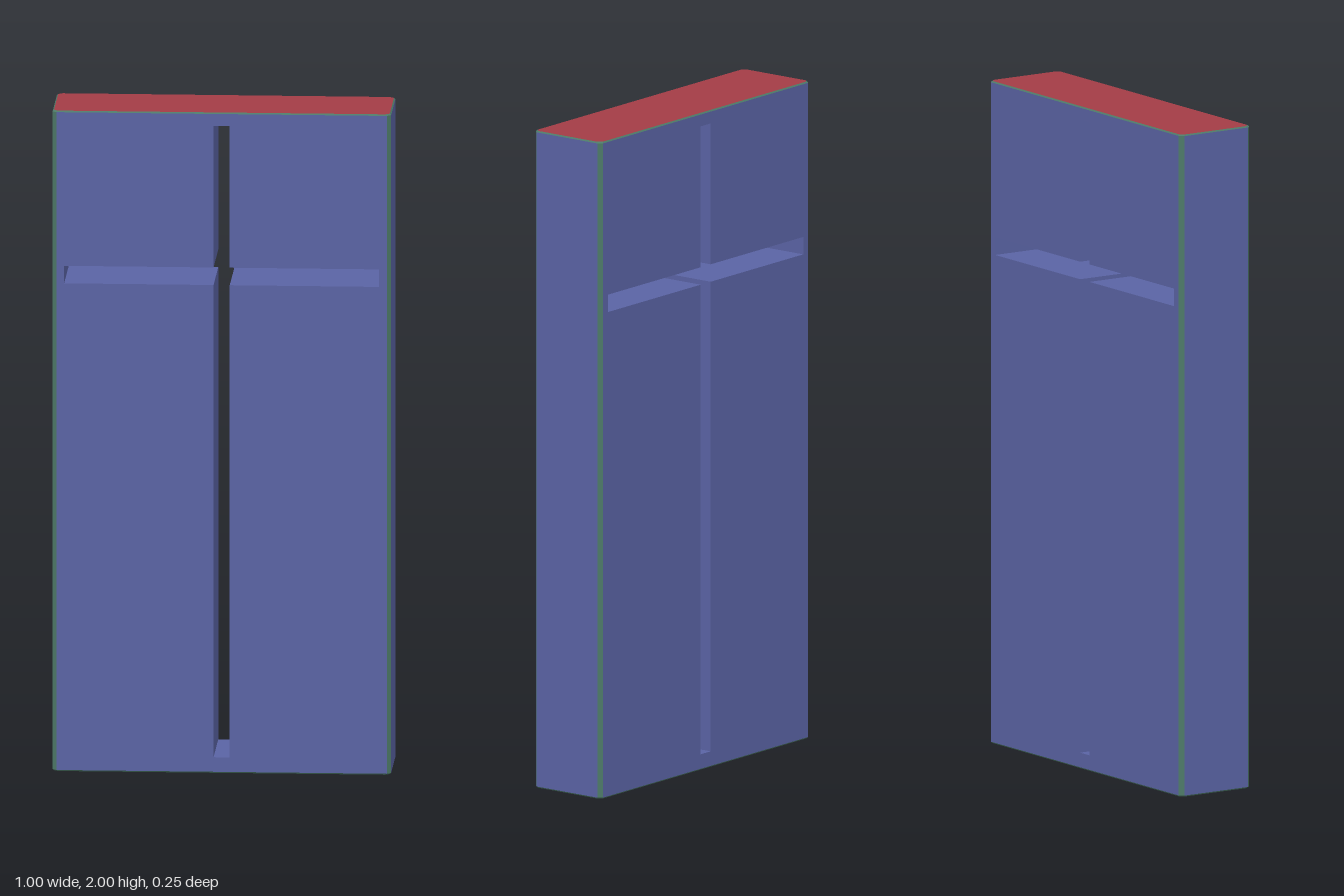
import * as THREE from 'three';

const HX = 0.502, HZ = 0.127, H = 2;   // half width, half depth, height
const CUT = 0.012, LIP = 0.004;        // vertical corner cut, top and bottom bevel

const paint = (color) => new THREE.MeshStandardMaterial({ color, flatShading: true });

// Flat-shaded mesh from convex polygons, each an array of Vector3 in winding order
function polygonMesh(name, polygons, material) {
  const pos = [];
  for (const p of polygons)
    for (let i = 1; i < p.length - 1; i++)
      for (const v of [p[0], p[i], p[i + 1]]) pos.push(v.x, v.y, v.z);
  const geo = new THREE.BufferGeometry();
  geo.setAttribute('position', new THREE.Float32BufferAttribute(pos, 3));
  geo.computeVertexNormals();
  const mesh = new THREE.Mesh(geo, material);
  mesh.name = name;
  return mesh;
}

// Octagonal outline: a rectangle with cut corners, at height y
function ring(y, inset) {
  const x = HX - inset, z = HZ - inset, c = CUT;
  return [[x, z - c], [x, c - z], [x - c, -z], [c - x, -z],
    [-x, c - z], [-x, z - c], [c - x, z], [x - c, z]]
    .map(([a, b]) => new THREE.Vector3(a, y, b));
}

export function createModel() {
  const group = new THREE.Group();
  const blue = paint(0x5a63a4), red = paint(0xa33c46), green = paint(0x4d7a68);

  // Outer shell: rings joined side by side
  const rings = [ring(0, LIP), ring(LIP, 0), ring(H - LIP, 0), ring(H, LIP)];
  const sides = [], edges = [];
  for (let r = 0; r < 3; r++)
    for (let i = 0; i < 8; i++) {
      const j = (i + 1) % 8, a = rings[r], b = rings[r + 1];
      const quad = [a[i], a[j], b[j], b[i]];
      if (r !== 1 || i % 2) edges.push(quad);
      else if (i % 4 === 0) sides.push(quad);
    }
  group.add(polygonMesh('sidePanels', sides, blue));
  group.add(polygonMesh('bevelledEdges', edges, green));
  group.add(polygonMesh('topPanel', [rings[3]], red));
  group.add(polygonMesh('bottomPanel', [[...rings[0]].reverse()], blue));

  // Cross-shaped opening, counter-clockwise seen from the front
  const w = 0.024, arm = 0.467, y0 = 0.048, y1 = 1.478, y2 = 1.531, y3 = 1.96;
  const cross = [[-w, y0], [w, y0], [w, y1], [arm, y1], [arm, y2], [w, y2],
    [w, y3], [-w, y3], [-w, y2], [-arm, y2], [-arm, y1], [-w, y1]]
    .map(([x, y]) => new THREE.Vector2(x, y));

  // Front and back panels with the opening
  const px = HX - CUT;
  const panel = new THREE.Shape([[-px, LIP], [px, LIP], [px, H - LIP], [-px, H - LIP]]
    .map(([x, y]) => new THREE.Vector2(x, y)));
  panel.holes.push(new THREE.Path([...cross].reverse()));
  const panelGeo = new THREE.ShapeGeometry(panel);
  for (const [name, s] of [['frontPanel', 1], ['backPanel', -1]]) {
    const mesh = new THREE.Mesh(panelGeo, blue);
    mesh.name = name;
    mesh.position.z = s * HZ;
    if (s < 0) mesh.rotation.y = Math.PI;
    group.add(mesh);
  }

  // Inner walls of the opening
  const walls = cross.map((p, i) => {
    const q = cross[(i + 1) % cross.length];
    return [new THREE.Vector3(p.x, p.y, HZ), new THREE.Vector3(q.x, q.y, HZ),
      new THREE.Vector3(q.x, q.y, -HZ), new THREE.Vector3(p.x, p.y, -HZ)];
  });
  group.add(polygonMesh('openingWalls', walls, blue));
  return group;
}
